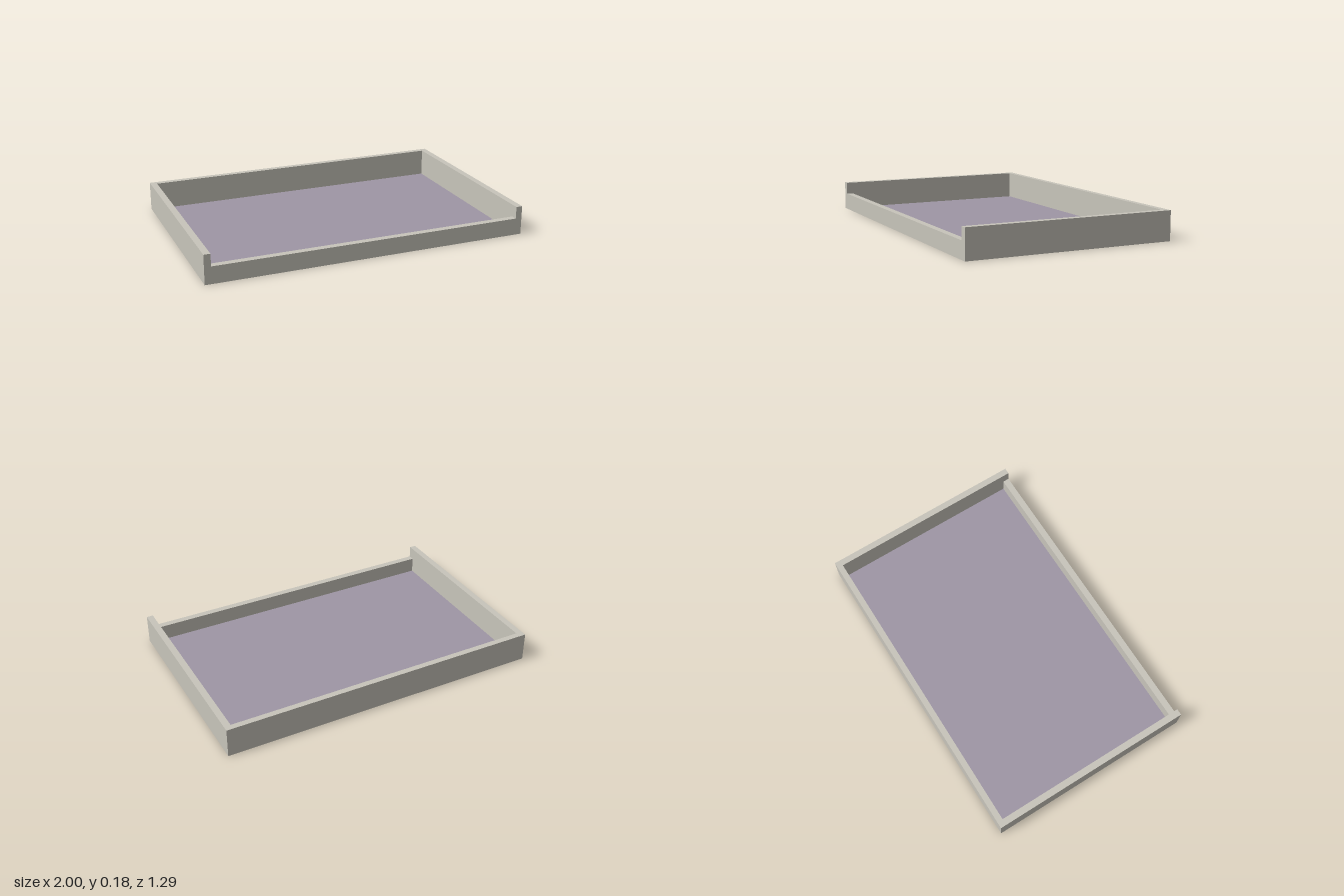
import * as THREE from 'three';

const W = 1, D = 0.645;            // half width and half depth
const T = 0.04;                    // wall thickness
const HEIGHT = 0.18, LIP = 0.105;  // tall walls and low front lip

export function createModel() {
  const wallMat = new THREE.MeshStandardMaterial({ color: 0xc8c5bb });
  wallMat.name = 'warm grey';
  const floorMat = new THREE.MeshStandardMaterial({ color: 0x9f96a5 });
  floorMat.name = 'muted purple';

  const tray = new THREE.Group();
  tray.name = 'tray';
  const add = (name, geometry, material) => {
    const mesh = new THREE.Mesh(geometry, material);
    mesh.name = name;
    tray.add(mesh);
    return mesh;
  };

  // U-shaped wall: both sides and the back, drawn in plan (shape y = -z)
  const plan = [
    [-W, -D], [-W + T, -D], [-W + T, D - 0.036], [W - T, D - 0.036],
    [W - T, -D], [W, -D], [W, D], [-W, D],
  ].map(([x, y]) => new THREE.Vector2(x, y));
  const wall = new THREE.ExtrudeGeometry(new THREE.Shape(plan), { depth: HEIGHT, bevelEnabled: false });
  wall.rotateX(-Math.PI / 2);
  add('sideAndBackWalls', wall, wallMat);

  // Low lip between the side walls at the front
  add('frontLip', new THREE.BoxGeometry(2 * (W - T), LIP, T), wallMat)
    .position.set(0, LIP / 2, D - T / 2);

  // Thin floor panel inside the walls
  const floorDepth = 2 * D - T - 0.036;
  add('floorPanel', new THREE.BoxGeometry(2 * (W - T), 0.008, floorDepth), floorMat)
    .position.set(0, 0.004, -0.002);

  return tray;
}
